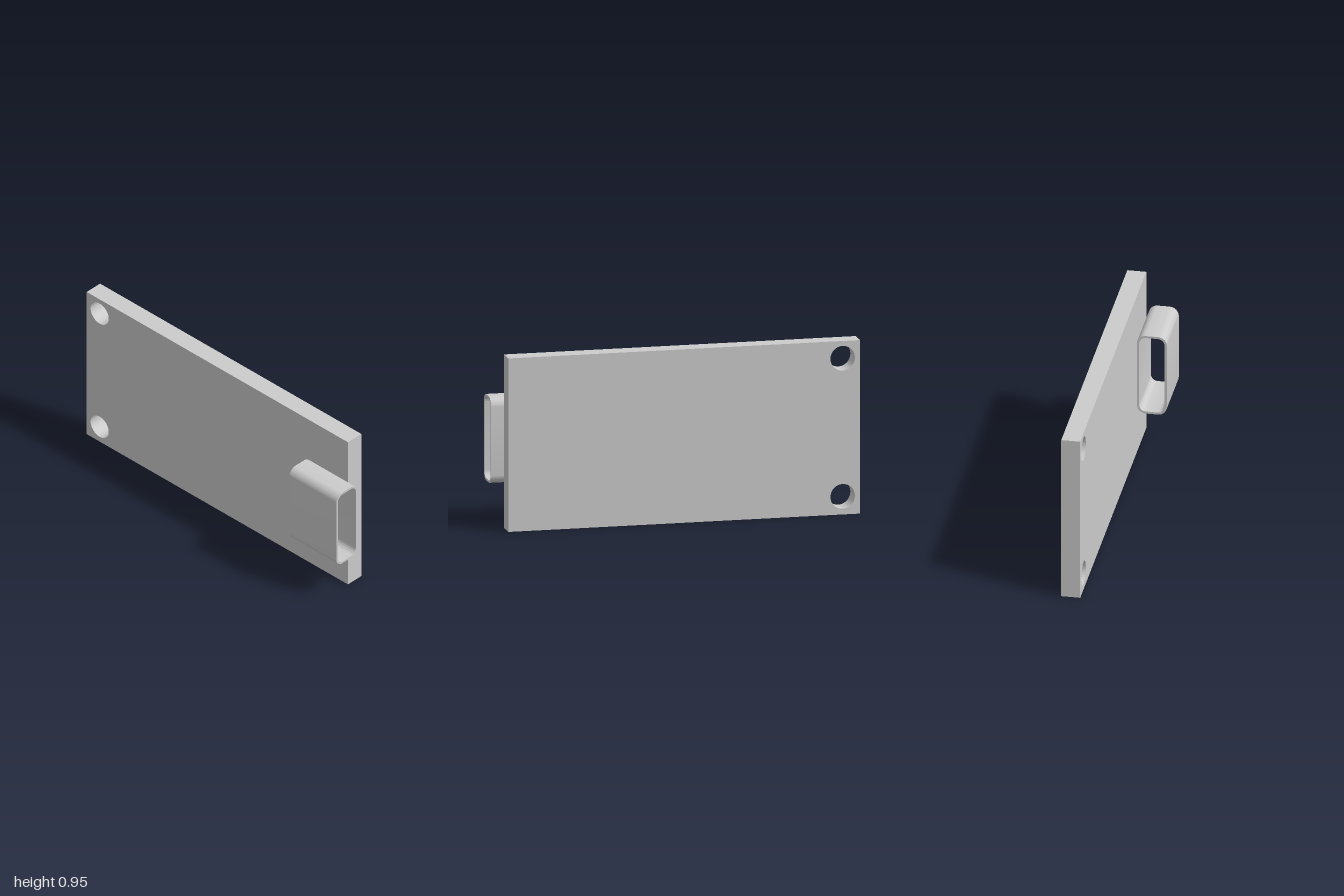
import * as THREE from 'three';
import { toCreasedNormals } from 'three/addons/utils/BufferGeometryUtils.js';

const material = new THREE.MeshStandardMaterial({ color: 0xcccccc });

// Rounded rectangle centred on the origin
function roundedRect(path, w, h, r) {
  const x = w / 2 - r, y = h / 2 - r;
  path.moveTo(-x, -y - r);
  path.absarc(x, -y, r, -Math.PI / 2, 0);
  path.absarc(x, y, r, 0, Math.PI / 2);
  path.absarc(-x, y, r, Math.PI / 2, Math.PI);
  path.absarc(-x, -y, r, Math.PI, Math.PI * 1.5);
  return path;
}

function extrude(name, shape, depth, curveSegments) {
  const geometry = new THREE.ExtrudeGeometry(shape, { depth, curveSegments, bevelEnabled: false });
  const mesh = new THREE.Mesh(toCreasedNormals(geometry, 0.6), material);
  mesh.name = name;
  return mesh;
}

export function createModel() {
  const group = new THREE.Group();
  group.name = 'mountingPlate';

  // Flat plate with two round mounting holes near one end
  const outline = new THREE.Shape();
  outline.moveTo(-1, 0);
  outline.lineTo(0.93, 0);
  outline.lineTo(0.93, 0.947);
  outline.lineTo(-1, 0.947);
  outline.closePath();
  for (const y of [0.099, 0.853]) {
    outline.holes.push(new THREE.Path().absarc(-0.904, y, 0.067, 0, Math.PI * 2, true));
  }
  const plate = extrude('plate', outline, 0.103, 48);
  plate.position.z = -0.133;
  group.add(plate);

  // Thin-walled rounded sleeve on the front, open at both ends
  const section = roundedRect(new THREE.Shape(), 0.163, 0.47, 0.05);
  section.holes.push(roundedRect(new THREE.Path(), 0.139, 0.446, 0.038));
  const sleeve = extrude('sleeve', section, 0.347, 16);
  sleeve.rotation.y = Math.PI / 2;
  sleeve.position.set(0.653, 0.475, 0.0515);
  group.add(sleeve);

  return group;
}
